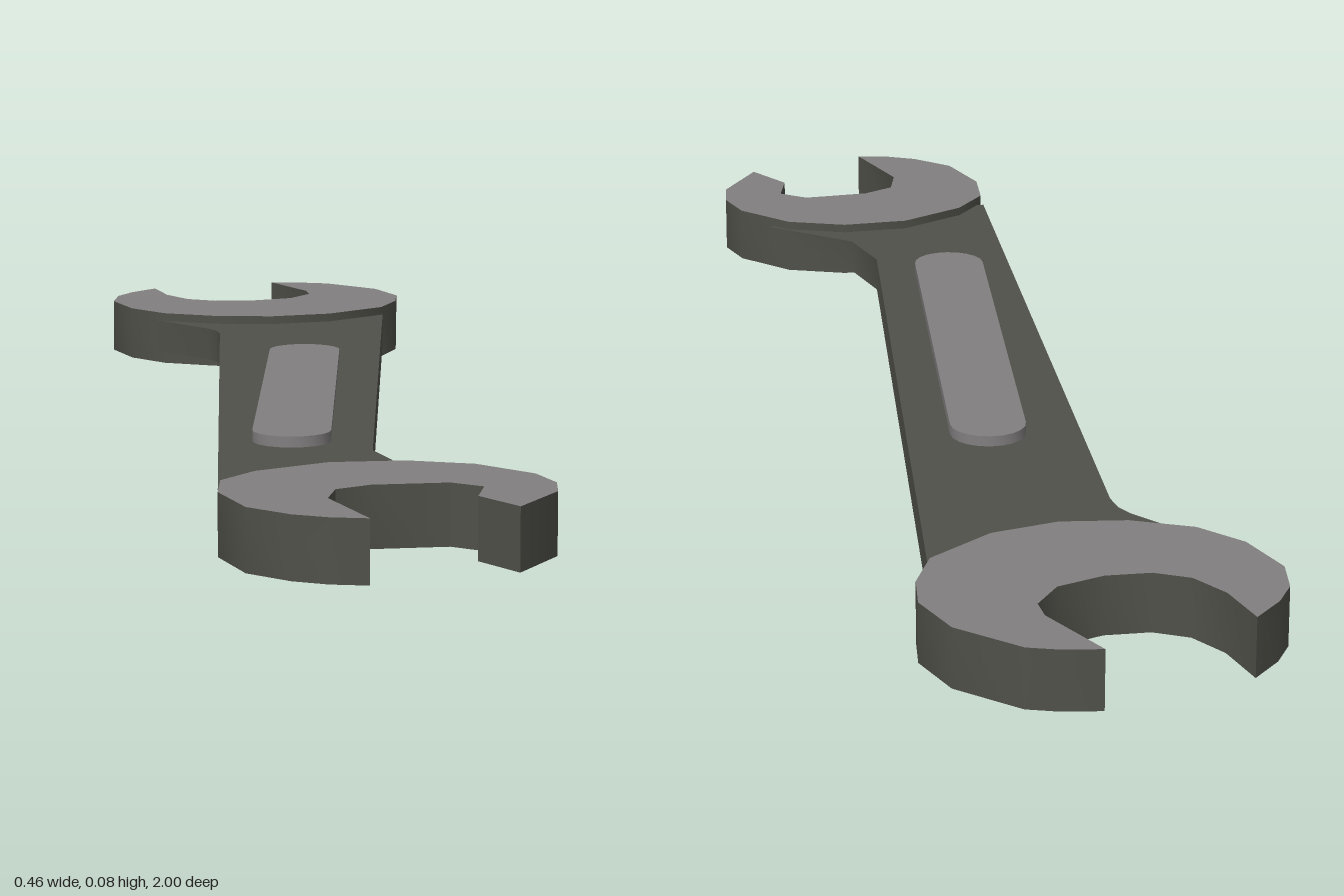
import * as THREE from 'three';
import { toCreasedNormals } from 'three/addons/utils/BufferGeometryUtils.js';

const brightSteel = new THREE.MeshStandardMaterial({ color: 0x827f80 });
brightSteel.name = 'brightSteel';
const darkSteel = new THREE.MeshStandardMaterial({ color: 0x51514a });
darkSteel.name = 'darkSteel';

// Flat plate from an (x, z) outline, spanning heights y0 to y1
function plate(name, outline, y0, y1, faceMaterial, sideMaterial) {
  const shape = new THREE.Shape(outline.map(([x, z]) => new THREE.Vector2(x, -z)));
  let geometry = new THREE.ExtrudeGeometry(shape, { depth: y1 - y0, bevelEnabled: false });
  geometry.rotateX(-Math.PI / 2);
  geometry.translate(0, y0, 0);
  geometry = toCreasedNormals(geometry, 0.65);
  const mesh = new THREE.Mesh(geometry, [faceMaterial, sideMaterial]);
  mesh.name = name;
  return mesh;
}

// Rounded bar outline between two end centres
function stadium([ax, az], [bx, bz], radius, steps = 10) {
  const start = Math.atan2(bz - az, bx - ax) + Math.PI / 2;
  const points = [];
  [[ax, az], [bx, bz]].forEach(([cx, cz], end) => {
    for (let i = 0; i <= steps; i++) {
      const a = start + Math.PI * (end + i / steps);
      points.push([cx + radius * Math.cos(a), cz + radius * Math.sin(a)]);
    }
  });
  return points;
}

export function createModel() {
  const group = new THREE.Group();
  group.name = 'openEndWrench';

  // Larger jaw at the back: outer rim, then the slot
  const backJaw = [
    [-0.145, -0.95], [-0.185, -0.91], [-0.21, -0.87], [-0.222, -0.81], [-0.2, -0.725],
    [-0.155, -0.665], [-0.08, -0.625], [0.005, -0.61], [0.095, -0.628], [0.185, -0.69],
    [0.217, -0.757], [0.228, -0.82], [0.206, -0.9], [0.138, -0.975], [0.1, -0.99], [0.05, -1],
    [0.093, -0.89], [0.093, -0.855], [0.058, -0.81], [-0.005, -0.79], [-0.063, -0.794],
    [-0.105, -0.82], [-0.132, -0.873],
  ];
  // Smaller jaw at the front
  const frontJaw = [
    [0.105, 0.952], [0.165, 0.865], [0.174, 0.81], [0.16, 0.75], [0.1, 0.677], [0.02, 0.643],
    [-0.075, 0.643], [-0.17, 0.69], [-0.217, 0.745], [-0.228, 0.82], [-0.206, 0.915],
    [-0.16, 0.965], [-0.12, 0.988], [-0.075, 1],
    [-0.106, 0.873], [-0.09, 0.82], [-0.045, 0.797], [0.05, 0.795], [0.085, 0.825],
    [0.095, 0.862], [0.065, 0.89],
  ];
  // The slot's far corner sits in line with the jaw's straight flank
  frontJaw[frontJaw.length - 1] = [0.068, 0.882];
  frontJaw.splice(frontJaw.length - 2, 1);

  group.add(plate('backJaw', backJaw, 0.003, 0.08, brightSteel, darkSteel));
  group.add(plate('frontJaw', frontJaw, 0.003, 0.08, brightSteel, darkSteel));

  // Tapered handle, its ends tucked into the jaws
  const handle = [
    [-0.165, -0.675], [-0.097, -0.575], [-0.087, -0.55], [-0.085, -0.52], [-0.219, 0.735],
    [-0.1, 0.75], [0.08, 0.74], [0.125, 0.695], [0.018, 0.595], [0, 0.5],
    [0.187, -0.69], [0.08, -0.74], [-0.08, -0.74],
  ];
  group.add(plate('handle', handle, 0.021, 0.068, darkSteel, darkSteel));

  // Raised grip bars on both faces
  const bar = stadium([0.01, -0.257], [-0.092, 0.42], 0.05);
  group.add(plate('topGripBar', bar, 0.068, 0.082, brightSteel, brightSteel));
  group.add(plate('bottomGripBar', bar, 0, 0.021, brightSteel, brightSteel));

  return group;
}
